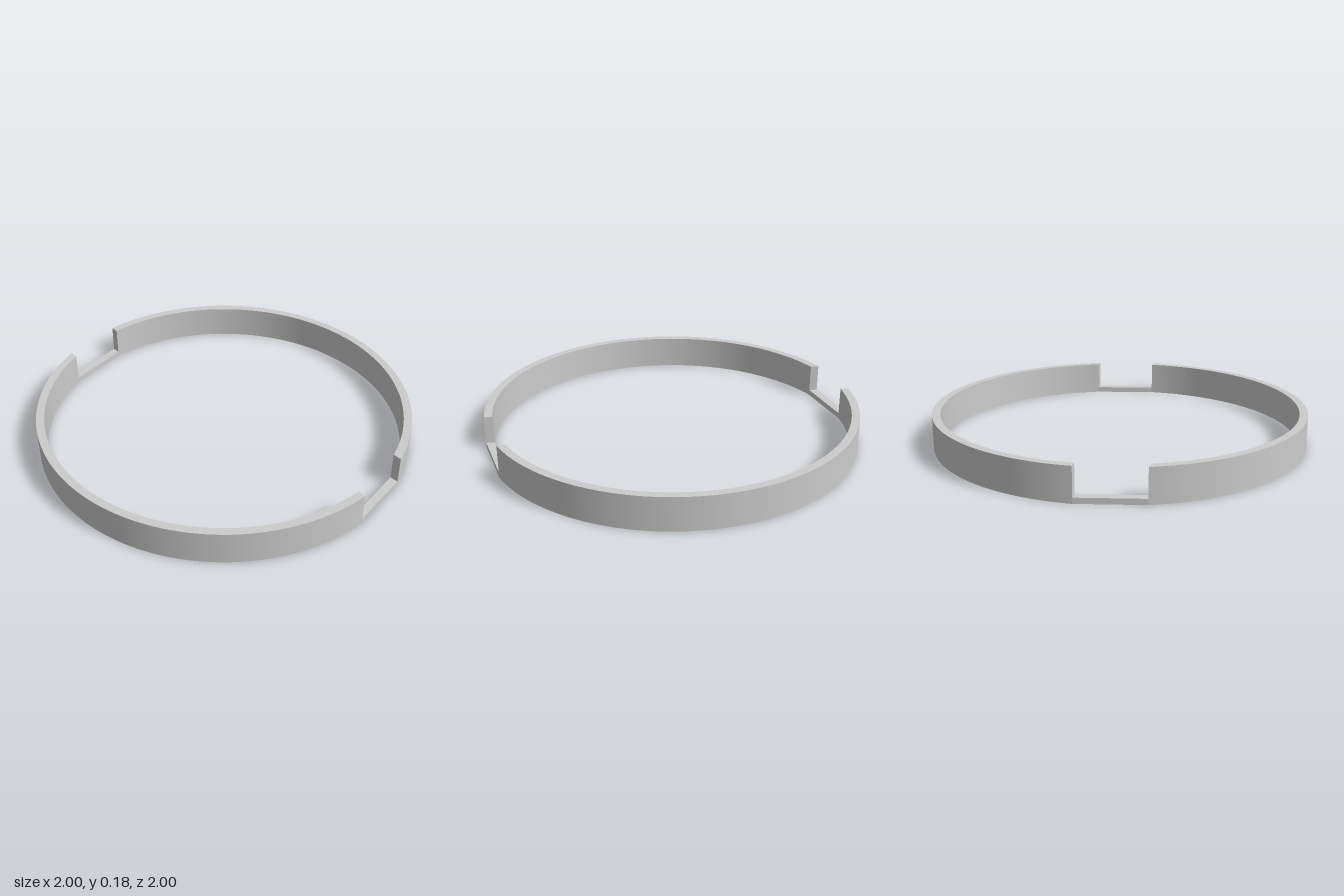
import * as THREE from 'three';
import { toCreasedNormals } from 'three/addons/utils/BufferGeometryUtils.js';

const OUTER = 1, INNER = 0.957; // ring radii
const HEIGHT = 0.18, SILL = 0.03; // wall height, height left under each notch
const NOTCH = 0.335; // notch length along z

// Extrude a plan (x, -z) upwards from the ground
function extrudeUp(shape, height) {
  const geometry = new THREE.ExtrudeGeometry(shape, { depth: height, bevelEnabled: false, curveSegments: 64 });
  geometry.rotateX(-Math.PI / 2);
  return toCreasedNormals(geometry, Math.PI / 6);
}

export function createModel() {
  const group = new THREE.Group();
  group.name = 'notchedRing';
  const material = new THREE.MeshStandardMaterial({ color: 0xcccccc });

  // Wall: an arc of the ring with both ends cut square to z
  const outerAngle = Math.asin(NOTCH / OUTER);
  const innerAngle = Math.asin(NOTCH / INNER);
  const wallPlan = new THREE.Shape();
  wallPlan.absarc(0, 0, OUTER, outerAngle, Math.PI, false);
  wallPlan.absarc(0, 0, INNER, Math.PI, innerAngle, true);
  wallPlan.closePath();
  const wallGeometry = extrudeUp(wallPlan, HEIGHT);

  // Sill: a low straight strip bridging the notch
  const sillPlan = new THREE.Shape([
    new THREE.Vector2(OUTER, 0),
    new THREE.Vector2(OUTER * Math.cos(outerAngle), NOTCH),
    new THREE.Vector2(INNER * Math.cos(innerAngle), NOTCH),
    new THREE.Vector2(INNER, 0),
  ]);
  const sillGeometry = extrudeUp(sillPlan, SILL);

  // Two identical halves, turned half a revolution apart
  ['back', 'front'].forEach((side, i) => {
    const half = new THREE.Group();
    half.name = side + 'Half';
    half.rotation.y = i * Math.PI;
    const wall = new THREE.Mesh(wallGeometry, material);
    wall.name = side + 'Wall';
    const sill = new THREE.Mesh(sillGeometry, material);
    sill.name = side + 'NotchSill';
    half.add(wall, sill);
    group.add(half);
  });
  return group;
}
